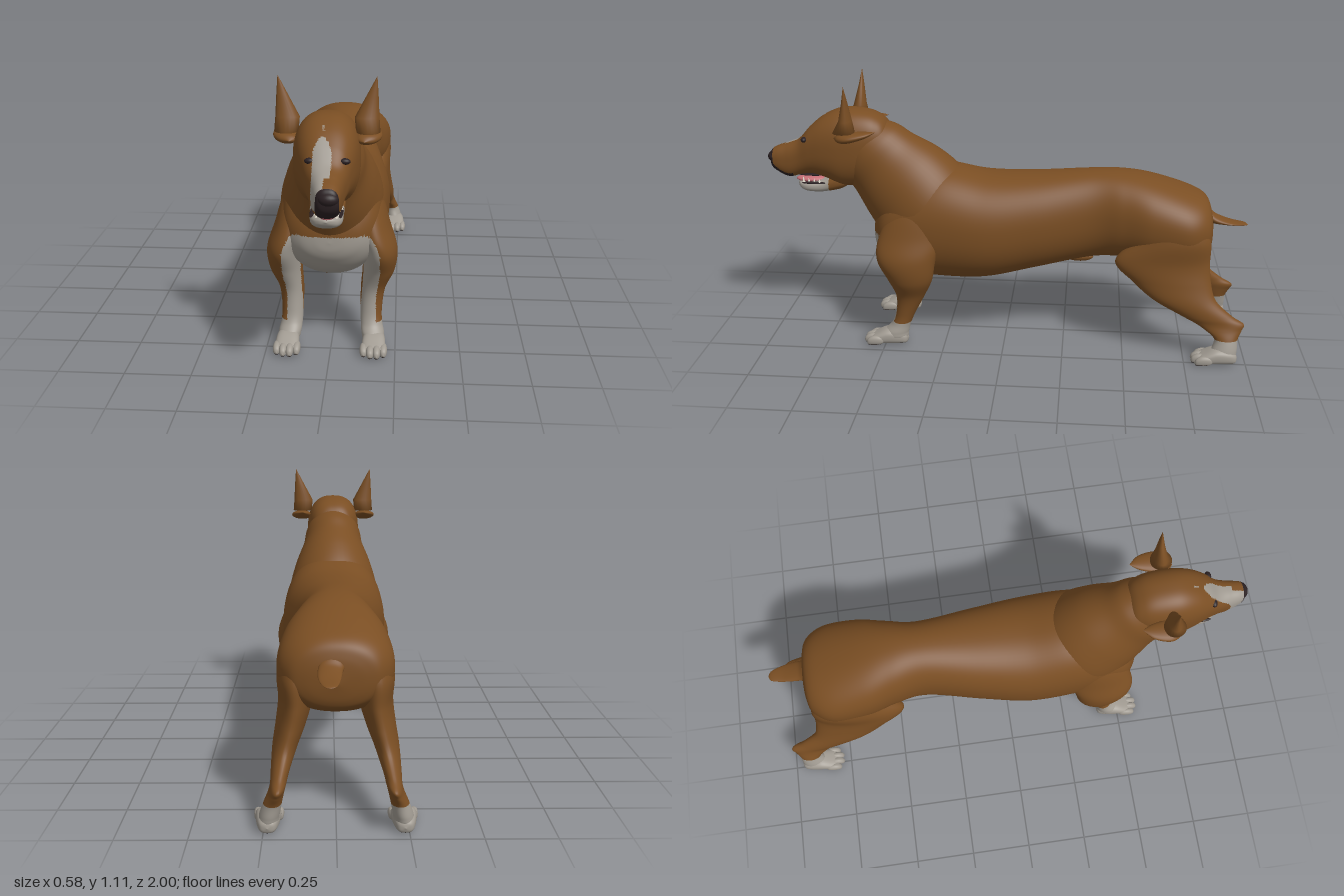
import * as THREE from 'three';

const mat = (name, color) => Object.assign(new THREE.MeshStandardMaterial({ color }), { name });
const coat = mat('tan coat', 0x7a4e23);
const white = mat('white markings', 0xa19b92);
const dark = mat('dark skin', 0x2a2022);
const pink = mat('tongue pink', 0xc56f76);
const ivory = mat('tooth ivory', 0xe6dfd0);

// Skins rings through stations [x, y, z, halfWidth, halfHeight].
// tilt 0: rings face forward; 90: rings lie flat, stations run downward.
// paint(x, y, z) picks the material index for each triangle.
function loft(name, stations, mats, { tilt = 0, segs = 40, steps = 8, box = 1, linear = false, paint } = {}) {
  const a = THREE.MathUtils.degToRad(tilt);
  const spline = pts => new THREE.CatmullRomCurve3(pts, false, 'catmullrom', linear ? 0 : 0.5);
  const path = spline(stations.map(s => new THREE.Vector3(s[0], s[1], s[2])));
  const size = spline(stations.map(s => new THREE.Vector3(s[3], s[4], 0)));
  const rows = linear ? stations.length - 1 : (stations.length - 1) * steps;
  const pos = [];
  const round = v => Math.sign(v) * Math.abs(v) ** box;
  for (let i = 0; i <= rows; i++) {
    const c = path.getPoint(i / rows), r = size.getPoint(i / rows);
    for (let j = 0; j < segs; j++) {
      const t = (j / segs) * Math.PI * 2;
      const w = Math.max(r.x, 0) * round(Math.cos(t)), h = Math.max(r.y, 0) * round(Math.sin(t));
      pos.push(c.x + w, c.y + h * Math.cos(a), c.z + h * Math.sin(a));
    }
  }
  const list = Array.isArray(mats) ? mats : [mats];
  const buckets = list.map(() => []);
  const addTri = (...ids) => {
    const mid = k => ids.reduce((sum, id) => sum + pos[id * 3 + k], 0) / 3;
    buckets[paint ? paint(mid(0), mid(1), mid(2)) : 0].push(...ids);
  };
  for (let i = 0; i < rows; i++) {
    for (let j = 0; j < segs; j++) {
      const k = (j + 1) % segs, p = i * segs, q = p + segs;
      addTri(p + j, p + k, q + j);
      addTri(p + k, q + k, q + j);
    }
  }
  const geo = new THREE.BufferGeometry();
  geo.setAttribute('position', new THREE.Float32BufferAttribute(pos, 3));
  geo.setIndex(buckets.flat());
  let start = 0;
  buckets.forEach((b, m) => { geo.addGroup(start, b.length, m); start += b.length; });
  geo.computeVertexNormals();
  const mesh = new THREE.Mesh(geo, list.length > 1 ? list : list[0]);
  mesh.name = name;
  return mesh;
}

function ball(name, material, [x, y, z], [rx, ry, rz]) {
  const mesh = new THREE.Mesh(new THREE.SphereGeometry(1, 20, 14), material);
  mesh.name = name;
  mesh.position.set(x, y, z);
  mesh.scale.set(rx, ry, rz);
  return mesh;
}

// Paw with four toes and a dark underside; tip is the z of the toe ends
function paw(name, x, tip) {
  const g = new THREE.Group();
  g.name = name;
  const sole = (px, y) => (y < 0.007 ? 1 : 0);
  g.add(loft('pawBody', [
    [x, 0.024, tip - 0.197, 0, 0], [x, 0.025, tip - 0.188, 0.025, 0.02], [x, 0.031, tip - 0.16, 0.037, 0.029],
    [x, 0.034, tip - 0.11, 0.044, 0.033], [x, 0.024, tip - 0.06, 0.045, 0.022],
    [x, 0.018, tip - 0.035, 0.035, 0.013], [x, 0.018, tip - 0.025, 0, 0],
  ], [white, dark], { box: 0.75, segs: 32, paint: sole }));
  for (const o of [-0.036, -0.012, 0.012, 0.036]) {
    const z = tip - Math.abs(o) * 0.6, tx = x + o * 1.05;
    g.add(loft('toe', [
      [tx, 0.02, z - 0.08, 0, 0], [tx, 0.022, z - 0.06, 0.012, 0.017], [tx, 0.021, z - 0.03, 0.015, 0.02],
      [tx, 0.016, z - 0.008, 0.011, 0.014], [tx, 0.013, z, 0, 0],
    ], [white, dark], { box: 0.85, segs: 20, steps: 6, paint: sole }));
  }
  return g;
}

// White bib on the front of the chest, with rounded upper corners
const bibTop = x => 0.482 - 26 * Math.max(0, Math.abs(x) - 0.13) ** 2;
const bib = (x, y, z) => (y < bibTop(x) && y > 0.297 && Math.abs(x) < 0.188 && z > 0.42 ? 1 : 0);

// White foot and a white strip up the front of the foreleg, meeting the bib
function stocking(x, y, z) {
  const edge = 0.173 + THREE.MathUtils.clamp((y - 0.2) * 0.15, 0, 0.015);
  return y < 0.1 || (y < bibTop(x) && Math.abs(x) < edge && z > 0.42) ? 1 : 0;
}

// Blaze down the forehead and one side of the muzzle, dark lip below the nose
function face(x, y, z) {
  if (z > 0.972 || (z > 0.89 && y < 0.765 && x > -0.018 && x < 0.062)) return 2;
  if (z < 0.72 || y < 0.725) return 0;
  const half = 0.031 * Math.sqrt(THREE.MathUtils.clamp((0.932 - y) / 0.04, 0, 1));
  const right = y > 0.83 ? half - 0.003 : 0.008;
  return x > -0.005 - half && x < right ? 1 : 0;
}

export function createModel() {
  const dog = new THREE.Group();
  dog.name = 'dog';

  // Trunk and neck
  dog.add(loft('torso', [
    [0, 0.5, -0.86, 0, 0], [0, 0.51, -0.848, 0.11, 0.08], [0, 0.52, -0.82, 0.168, 0.122],
    [0, 0.525, -0.74, 0.207, 0.155], [0, 0.545, -0.6, 0.2, 0.178], [0, 0.56, -0.48, 0.168, 0.183],
    [0, 0.555, -0.35, 0.147, 0.188], [0, 0.52, -0.12, 0.187, 0.205], [0, 0.497, 0.08, 0.216, 0.226],
    [0, 0.51, 0.27, 0.213, 0.244], [0, 0.505, 0.41, 0.195, 0.222], [0, 0.49, 0.49, 0.172, 0.165],
    [0, 0.475, 0.535, 0.12, 0.095], [0, 0.465, 0.553, 0.06, 0.045], [0, 0.46, 0.557, 0, 0],
  ], [coat, white], { box: 0.9, segs: 72, steps: 10, paint: bib }));
  dog.add(loft('neck', [
    [0, 0.42, 0.19, 0, 0], [0, 0.5, 0.27, 0.185, 0.2], [0, 0.58, 0.35, 0.196, 0.222],
    [0, 0.67, 0.43, 0.172, 0.205], [0, 0.75, 0.51, 0.138, 0.172], [0, 0.81, 0.57, 0.124, 0.152],
    [0, 0.86, 0.62, 0.09, 0.1], [0, 0.89, 0.65, 0, 0],
  ], [coat, white], { tilt: -45, segs: 56, paint: bib }));
  dog.add(ball('sheath', coat, [0, 0.354, -0.31], [0.02, 0.021, 0.06]));
  dog.add(loft('tail', [
    [0.02, 0.528, -1, 0, 0], [0.02, 0.531, -0.985, 0.022, 0.004], [0.022, 0.537, -0.93, 0.037, 0.008],
    [0.02, 0.55, -0.87, 0.043, 0.018], [0.01, 0.565, -0.83, 0.04, 0.03], [0, 0.57, -0.77, 0, 0],
  ], coat));

  // Head, turned slightly to its left
  dog.add(loft('head', [
    [0, 0.83, 0.46, 0, 0], [0, 0.835, 0.49, 0.075, 0.085], [0, 0.835, 0.535, 0.103, 0.126],
    [0, 0.822, 0.6, 0.117, 0.157], [0, 0.818, 0.68, 0.118, 0.162], [0.004, 0.82, 0.75, 0.105, 0.134],
    [0.009, 0.806, 0.81, 0.085, 0.103], [0.013, 0.777, 0.86, 0.066, 0.079], [0.017, 0.761, 0.91, 0.055, 0.073],
    [0.021, 0.764, 0.955, 0.045, 0.055], [0.024, 0.768, 0.98, 0.032, 0.035], [0.024, 0.77, 0.988, 0, 0],
  ], [coat, white, dark], { box: 0.8, segs: 96, steps: 14, paint: face }));
  dog.add(ball('nose', dark, [0.027, 0.776, 0.972], [0.035, 0.023, 0.026]));

  // Open mouth: chin white at the front only
  dog.add(loft('lowerJaw', [
    [0.004, 0.69, 0.64, 0, 0], [0.004, 0.68, 0.68, 0.06, 0.035], [0.007, 0.655, 0.76, 0.059, 0.029],
    [0.009, 0.65, 0.82, 0.056, 0.025], [0.01, 0.653, 0.855, 0.044, 0.021], [0.011, 0.659, 0.872, 0.026, 0.013],
    [0.011, 0.662, 0.88, 0, 0],
  ], [coat, white], { box: 0.8, paint: (x, y, z) => (z > 0.74 ? 1 : 0) }));
  dog.add(ball('mouthRoof', dark, [0.011, 0.702, 0.81], [0.046, 0.007, 0.09]));
  dog.add(ball('tongue', pink, [0.014, 0.677, 0.825], [0.034, 0.014, 0.062]));

  for (const s of [1, -1]) {
    const side = s > 0 ? 'left' : 'right';
    dog.add(ball(side + 'Eye', dark, [0.014 + s * 0.058, 0.861, 0.828], [0.02, 0.011, 0.013]));

    // Lower teeth and dark lip along the jaw
    for (let i = 0; i < 4; i++) {
      const tooth = new THREE.Mesh(new THREE.ConeGeometry(0.006, i ? 0.02 : 0.028, 8), ivory);
      tooth.name = side + 'Tooth';
      tooth.position.set(0.011 + s * (0.034 + i * 0.005), i ? 0.679 : 0.682, 0.85 - i * 0.024);
      dog.add(tooth);
    }
    dog.add(ball(side + 'LowerLip', dark, [0.009 + s * 0.05, 0.67, 0.8], [0.008, 0.005, 0.055]));

    // Tall pointed ear with a folded flap at its base
    dog.add(loft(side + 'Ear', [
      [s * 0.173, 1.11, 0.628, 0, 0], [s * 0.157, 1.04, 0.63, 0.021, 0.012],
      [s * 0.139, 0.965, 0.635, 0.043, 0.026], [s * 0.143, 0.915, 0.643, 0.043, 0.045],
      [s * 0.143, 0.914, 0.643, 0, 0],
    ], coat, { tilt: 90, segs: 20, linear: true }));
    dog.add(loft(side + 'EarFlap', [
      [s * 0.14, 0.918, 0.515, 0, 0], [s * 0.147, 0.908, 0.555, 0.03, 0.012],
      [s * 0.147, 0.896, 0.62, 0.046, 0.02], [s * 0.138, 0.89, 0.665, 0.035, 0.017], [s * 0.13, 0.888, 0.69, 0, 0],
    ], coat, { segs: 24 }));

    // Front leg
    dog.add(loft(side + 'FrontLeg', [
      [s * 0.11, 0.68, 0.33, 0, 0], [s * 0.128, 0.6, 0.345, 0.056, 0.11], [s * 0.16, 0.48, 0.38, 0.064, 0.135],
      [s * 0.186, 0.39, 0.4, 0.066, 0.122], [s * 0.181, 0.3, 0.388, 0.063, 0.092],
      [s * 0.16, 0.22, 0.392, 0.048, 0.06], [s * 0.154, 0.14, 0.415, 0.042, 0.042],
      [s * 0.156, 0.09, 0.434, 0.042, 0.04], [s * 0.162, 0.055, 0.455, 0.044, 0.052],
      [s * 0.165, 0.03, 0.46, 0.038, 0.05], [s * 0.165, 0.02, 0.46, 0, 0],
    ], [coat, white], { tilt: 90, segs: 64, steps: 10, paint: stocking }));
    dog.add(paw(side + 'FrontPaw', s * 0.167, 0.6));

    // Hind leg: thigh, raked shank, hock and white foot
    dog.add(loft(side + 'HindLeg', [
      [s * 0.105, 0.67, -0.67, 0, 0], [s * 0.122, 0.6, -0.69, 0.058, 0.1], [s * 0.142, 0.5, -0.69, 0.067, 0.148],
      [s * 0.144, 0.4, -0.65, 0.063, 0.192], [s * 0.16, 0.32, -0.69, 0.055, 0.16],
      [s * 0.18, 0.25, -0.745, 0.045, 0.128], [s * 0.194, 0.19, -0.835, 0.033, 0.105],
      [s * 0.199, 0.16, -0.888, 0.028, 0.1], [s * 0.206, 0.135, -0.905, 0.028, 0.076],
      [s * 0.218, 0.1, -0.918, 0.032, 0.048], [s * 0.23, 0.055, -0.912, 0.036, 0.052],
      [s * 0.234, 0.03, -0.905, 0.034, 0.05], [s * 0.234, 0.02, -0.905, 0, 0],
    ], [coat, white], { tilt: 90, segs: 40, steps: 10, paint: (x, y) => (y < 0.1 ? 1 : 0) }));
    dog.add(paw(side + 'HindPaw', s * 0.235, -0.77));
  }
  return dog;
}
